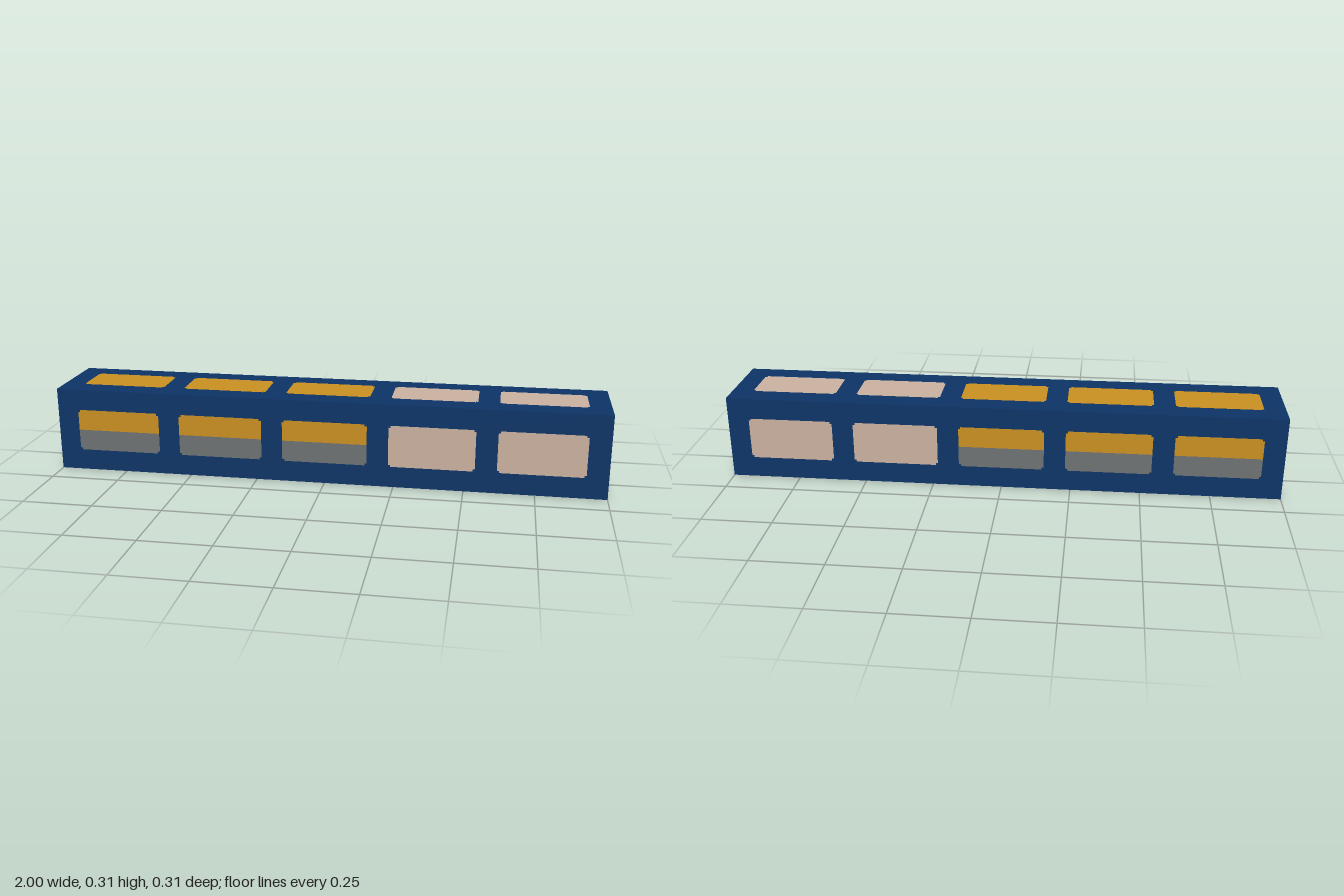
import * as THREE from 'three';

const U = 2 / 13; // two grid units: panel height
const LIFT = 0.001;

const paint = (name, color) => {
  const m = new THREE.MeshStandardMaterial({ color });
  m.name = name;
  return m;
};

// Rectangle with small square notches at its top and/or bottom corners
function notchedPanel(w, y0, y1, notchTop, notchBottom) {
  const x = w / 2, n = 0.0075;
  const b = notchBottom ? n : 0, t = notchTop ? n : 0;
  const points = [
    [-x + b, y0], [x - b, y0], [x - b, y0 + b], [x, y0 + b],
    [x, y1 - t], [x - t, y1 - t], [x - t, y1], [-x + t, y1],
    [-x + t, y1 - t], [-x, y1 - t], [-x, y0 + b], [-x + b, y0 + b],
  ].map(([px, py]) => new THREE.Vector2(px, py));
  // drop doubled corners where there is no notch
  const clean = points.filter((p, i) => !p.equals(points[(i + 1) % points.length]));
  return new THREE.ShapeGeometry(new THREE.Shape(clean));
}

export function createModel() {
  const blue = paint('navy blue', 0x0d3568);
  const gold = paint('gold', 0xcb9122);
  const gray = paint('gray', 0x6e7374);
  const pink = paint('pale pink', 0xcbb2a0);

  const model = new THREE.Group();
  model.name = 'panelledBeam';
  const core = new THREE.Group();
  core.name = 'beam';
  core.position.y = U;
  model.add(core);

  // Square beam
  const body = new THREE.Mesh(new THREE.BoxGeometry(2, 2 * U, 2 * U), blue);
  body.name = 'body';
  core.add(body);

  // One face of the beam, turned so that its panels look outward
  function addSide(name, rx, ry, distance) {
    const side = new THREE.Group();
    side.name = name;
    side.rotation.set(rx, ry, 0);
    core.add(side);
    return (label, geometry, material, x = 0) => {
      const mesh = new THREE.Mesh(geometry, material);
      mesh.name = label;
      mesh.position.set(x, 0, distance + LIFT);
      side.add(mesh);
    };
  }

  const h = U / 2;
  const full = (w) => notchedPanel(w, -h, h, true, true);
  const upper = (w) => notchedPanel(w, 0, h, true, false);
  const lower = (w) => notchedPanel(w, -h, 0, false, true);

  // Long sides: three two-tone panels, then two pale ones toward +x
  const sides = [
    ['frontPanels', 0, 0, 1, null],
    ['backPanels', 0, Math.PI, -1, null],
    ['topPanels', -Math.PI / 2, 0, 1, gold],
    ['bottomPanels', Math.PI / 2, 0, 1, gray],
  ];
  for (const [name, rx, ry, dir, solid] of sides) {
    const add = addSide(name, rx, ry, U);
    for (let i = 0; i < 5; i++) {
      const x = dir * (i - 2) * 2.5 * U;
      if (i > 2) add('palePanel', full(2 * U), pink, x);
      else if (solid) add('panel', full(2 * U), solid, x);
      else {
        add('upperPanel', upper(2 * U), gold, x);
        add('lowerPanel', lower(2 * U), gray, x);
      }
    }
  }

  // Ends: pale at +x, two-tone at -x
  addSide('leftEnd', 0, Math.PI / 2, 1)('palePanel', full(U), pink);
  const addRight = addSide('rightEnd', 0, -Math.PI / 2, 1);
  addRight('upperPanel', upper(U), gold);
  addRight('lowerPanel', lower(U), gray);

  return model;
}
